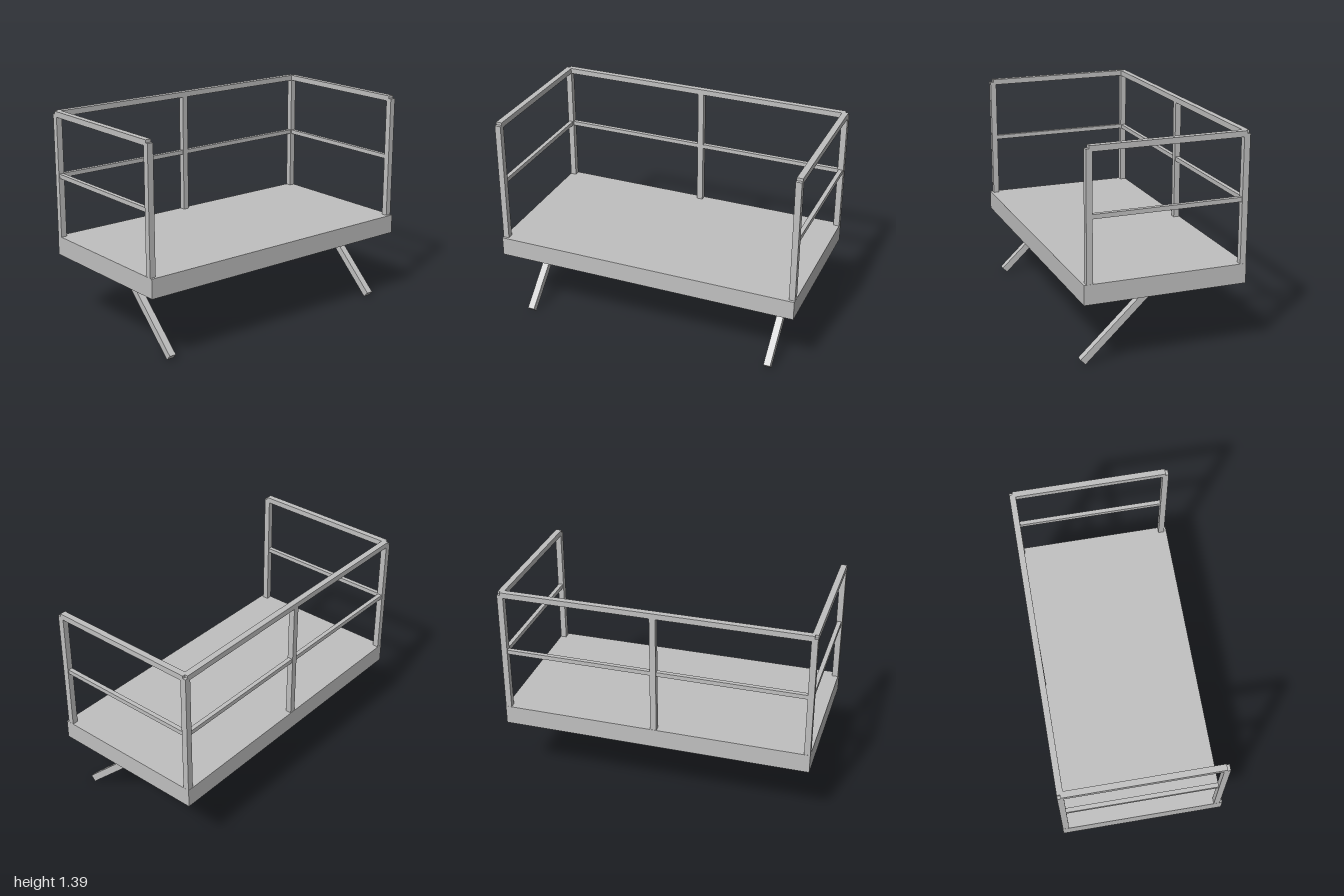
import * as THREE from 'three';

export function createModel() {
  const model = new THREE.Group();
  model.name = 'railedPlatform';
  const steel = new THREE.MeshStandardMaterial({ color: 0xc0c0c0 });
  steel.name = 'greySteel';

  // box given by its extents along each axis
  function bar(name, [x0, x1], [y0, y1], [z0, z1]) {
    const mesh = new THREE.Mesh(new THREE.BoxGeometry(x1 - x0, y1 - y0, z1 - z0), steel);
    mesh.name = name;
    mesh.position.set((x0 + x1) / 2, (y0 + y1) / 2, (z0 + z1) / 2);
    model.add(mesh);
    return mesh;
  }
  const around = (c, width) => [c - width / 2, c + width / 2];

  const deckTop = 0.565, postTop = 1.368, tube = 0.039;
  const sideX = 0.98, frontZ = 0.482, backZ = -0.497;
  const topRailY = around(postTop, 0.036), midRailY = around(0.969, 0.028);

  // deck
  bar('deck', [-1, 1], [0.44, deckTop], [-0.518, 0.518]);

  // back railing, with rails ending on the corner post axes
  bar('backTopRail', [-sideX, sideX], topRailY, around(backZ, tube));
  bar('backMiddleRail', [-sideX, sideX], midRailY, around(backZ, 0.028));
  bar('centrePost', around(0, tube), [deckTop, postTop], around(backZ, tube));

  for (const side of [-1, 1]) {
    const label = side > 0 ? 'left' : 'right';
    const x = side * sideX;

    // corner posts and side rails
    bar(label + 'FrontPost', around(x, tube), [deckTop, postTop], around(frontZ, tube));
    bar(label + 'BackPost', around(x, tube), [deckTop, postTop], around(backZ, tube));
    bar(label + 'TopRail', around(x, tube), topRailY, [backZ, frontZ]);
    bar(label + 'MiddleRail', around(x, 0.028), midRailY, [backZ, frontZ]);

    // slanted leg, running from the foot up into the deck
    const foot = new THREE.Vector3(side * 0.838, 0.0165, 0.476);
    const head = new THREE.Vector3(side * 0.838, 0.48, -0.016);
    const leg = new THREE.Mesh(new THREE.BoxGeometry(0.045, foot.distanceTo(head), 0.045), steel);
    leg.name = label + 'Leg';
    leg.position.copy(foot).lerp(head, 0.5);
    leg.rotation.x = Math.atan2(head.z - foot.z, head.y - foot.y);
    model.add(leg);
  }
  return model;
}
